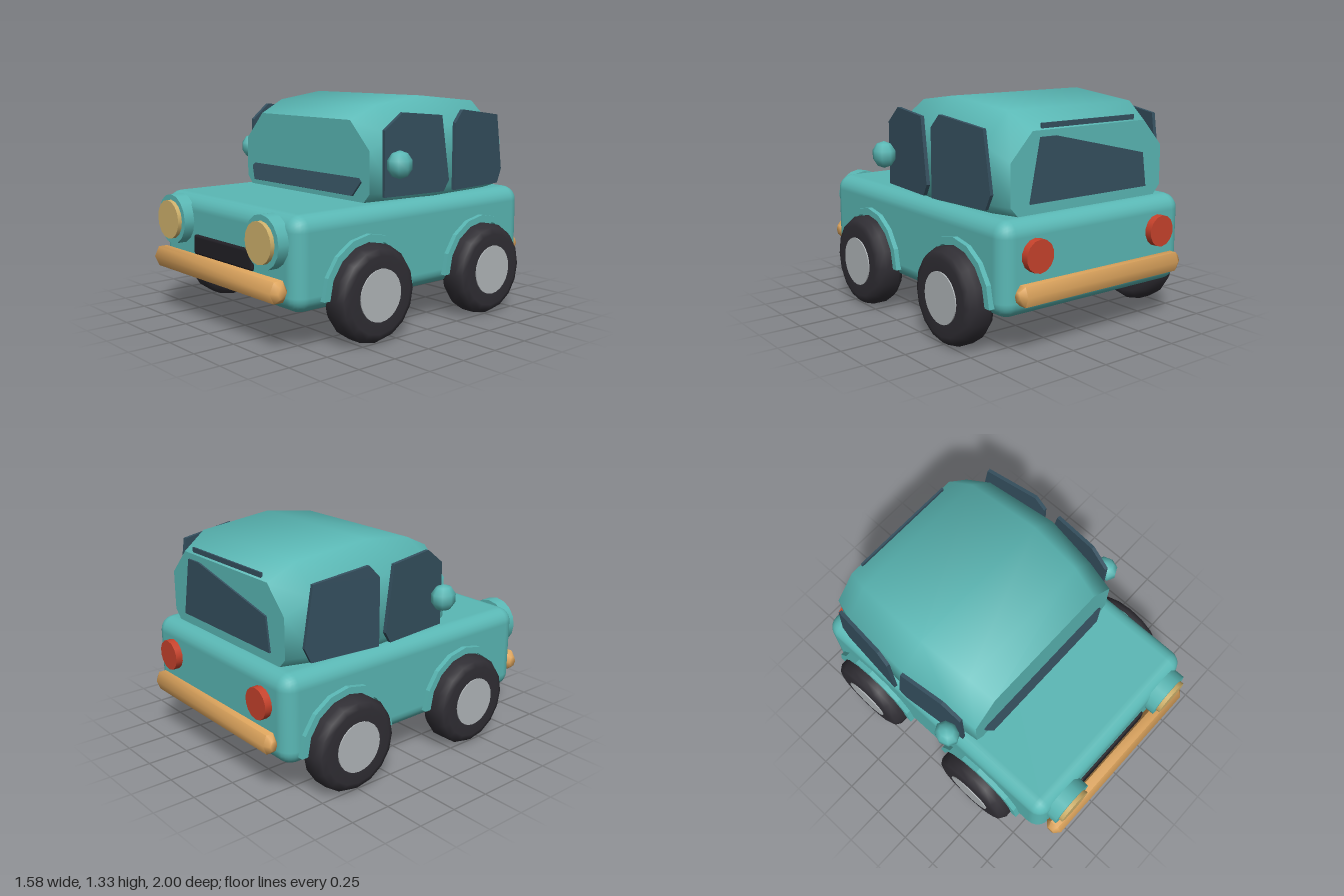
import * as THREE from 'three';
import { toCreasedNormals } from 'three/addons/utils/BufferGeometryUtils.js';
import { RoundedBoxGeometry } from 'three/addons/geometries/RoundedBoxGeometry.js';

const paint = (name, hex) => {
  const m = new THREE.MeshStandardMaterial({ color: hex });
  m.name = name;
  return m;
};

// Skin between closed rings (counter-clockwise in x, y, stepping along +z), capped at both ends
function loft(rings, crease) {
  const n = rings[0].length, index = [];
  for (let i = 0; i < rings.length - 1; i++) {
    for (let j = 0; j < n; j++) {
      const a = i * n + j, b = i * n + (j + 1) % n;
      index.push(a, b, b + n, a, b + n, a + n);
    }
  }
  const last = (rings.length - 1) * n;
  for (let j = 1; j < n - 1; j++) {
    index.push(0, j + 1, j, last, last + j, last + j + 1);
  }
  const g = new THREE.BufferGeometry();
  g.setAttribute('position', new THREE.Float32BufferAttribute(rings.flat(2), 3));
  g.setIndex(index);
  return toCreasedNormals(g, crease);
}

// Flat plate from an outline, centred on its own thickness
function plate(points, depth, holes = []) {
  const shape = new THREE.Shape(points.map(([x, y]) => new THREE.Vector2(x, y)));
  shape.holes = holes;
  return new THREE.ExtrudeGeometry(shape, { depth, bevelEnabled: false }).translate(0, 0, -depth / 2);
}

// Same, but the outline is given as (z, y) and the plate faces sideways
const sidePlate = (points, depth) => plate(points.map(([z, y]) => [-z, y]), depth).rotateY(Math.PI / 2);

export function createModel() {
  const car = new THREE.Group();
  car.name = 'car';
  const teal = paint('teal paint', 0x5ab8b5);
  const glass = paint('dark glass', 0x35505f);
  const rubber = paint('tyre rubber', 0x302e34);
  const steel = paint('hub grey', 0xb2b7ba);
  const brass = paint('bumper tan', 0xdfa65e);
  const lamp = paint('headlight yellow', 0xd0b26c);
  const red = paint('tail light red', 0xc8432c);
  const black = paint('grille black', 0x222026);

  const add = (name, geometry, material, x = 0, y = 0, z = 0) => {
    const mesh = new THREE.Mesh(geometry, material);
    mesh.name = name;
    mesh.position.set(x, y, z);
    car.add(mesh);
    return mesh;
  };

  // Lower body
  add('body', new RoundedBoxGeometry(1.34, 0.525, 1.81, 3, 0.09), teal, 0, 0.48, -0.017);

  // Cabin: octagonal sections [z, half width, shoulder height, roof half width, roof height]
  const sections = [
    [-0.837, 0.555, 1.03, 0.41, 1.185],
    [-0.68, 0.605, 1.11, 0.45, 1.28],
    [-0.2, 0.64, 1.16, 0.47, 1.325],
    [0.13, 0.605, 1.11, 0.45, 1.28],
    [0.305, 0.585, 1.035, 0.42, 1.2],
  ];
  add('cabin', loft(sections.map(([z, w, s, r, t]) => [
    [-w + 0.06, 0.73, z], [w - 0.06, 0.73, z], [w, 0.795, z], [w, s, z],
    [r, t, z], [-r, t, z], [-w, s, z], [-w, 0.795, z],
  ]), 0.9), teal);

  // Windscreen leaning into the cabin front
  const screen = add('windscreen', plate([[-0.47, -0.05], [0.47, -0.05], [0.52, 0.035], [0.5, 0.055], [-0.5, 0.055], [-0.52, 0.035]], 0.012),
    glass, 0, 0.825, 0.318);
  screen.rotation.x = -0.27;

  // Rear window with its upper rim showing above the roof
  add('rearWindow', plate([[-0.43, 0.8], [0.43, 0.8], [0.36, 1.15], [0.25, 1.15], [-0.4, 1.0]], 0.012), glass, 0, 0, -0.842);
  add('rearWindowRim', new THREE.BoxGeometry(0.68, 0.04, 0.012), glass, 0, 1.2, -0.82);

  // Side windows, outlines relative to their middle
  const frontGlass = [[0.235, 0.775], [0.235, 1.15], [0.11, 1.245], [-0.18, 1.22], [-0.24, 0.84], [-0.2, 0.775]];
  const rearGlass = [[0.24, 0.775], [0.24, 1.17], [0.17, 1.245], [-0.185, 1.2], [-0.24, 0.86], [-0.2, 0.775]];
  // Wheel arch: half ring
  const arch = [];
  for (let i = 0; i <= 8; i++) {
    const a = Math.PI * i / 8;
    arch.push([0.325 * Math.cos(a), 0.325 * Math.sin(a)]);
  }
  for (let i = 8; i >= 0; i--) {
    const a = Math.PI * i / 8;
    arch.push([0.285 * Math.cos(a), 0.285 * Math.sin(a)]);
  }
  // Tyre profile turned around the axle
  const tyreProfile = [[0.14, -0.09], [0.22, -0.093], [0.255, -0.08], [0.277, -0.045],
    [0.277, 0.045], [0.255, 0.08], [0.22, 0.093], [0.14, 0.09]].map(([r, y]) => new THREE.Vector2(r, y));
  const tyre = new THREE.LatheGeometry(tyreProfile, 16).rotateZ(Math.PI / 2);
  const hub = new THREE.CylinderGeometry(0.148, 0.148, 0.194, 24).rotateZ(Math.PI / 2);
  const disc = (r, depth, sides) => new THREE.CylinderGeometry(r, r, depth, sides).rotateX(Math.PI / 2);

  for (const [label, s] of [['left', 1], ['right', -1]]) {
    add(label + 'FrontWindow', sidePlate(frontGlass, 0.022), glass, s * 0.645, 0, 0).rotation.y = -s * 0.095;
    add(label + 'RearWindow', sidePlate(rearGlass, 0.022), glass, s * 0.644, 0, -0.525).rotation.y = s * 0.1;
    add(label + 'Mirror', new THREE.SphereGeometry(0.08, 8, 5), teal, s * 0.7, 0.963, 0.185).scale.set(0.85, 1, 1);

    for (const [end, z] of [['Front', 0.4], ['Rear', -0.52]]) {
      add(label + end + 'Tyre', tyre, rubber, s * 0.692, 0.277, z);
      add(label + end + 'Hub', hub, steel, s * 0.692, 0.277, z);
      add(label + end + 'Arch', sidePlate(arch, 0.07), teal, s * 0.665, 0.277, z);
    }

    add(label + 'HeadlightHousing', disc(0.15, 0.08, 16), teal, s * 0.458, 0.592, 0.912);
    add(label + 'Headlight', disc(0.117, 0.03, 16), lamp, s * 0.458, 0.592, 0.962);
    add(label + 'TailLight', disc(0.092, 0.06, 14), red, s * 0.455, 0.55, -0.935);
  }

  // Grille
  add('grille', new RoundedBoxGeometry(0.59, 0.12, 0.05, 2, 0.015), black, 0, 0.457, 0.88);

  // Bumpers: six-sided bars with tapered ends
  const bumper = (half, depth, height) => loft([[-half, 0.5], [-half + 0.035, 1], [half - 0.035, 1], [half, 0.5]].map(([z, k]) =>
    [0, 1, 2, 3, 4, 5].map((i) => {
      const a = Math.PI * i / 3;
      return [Math.cos(a) * depth * k, Math.sin(a) * height * k / 0.866, z];
    })), 1.1).rotateY(Math.PI / 2);
  add('frontBumper', bumper(0.625, 0.057, 0.059), brass, 0, 0.348, 0.943);
  add('rearBumper', bumper(0.6, 0.045, 0.056), brass, 0, 0.353, -0.955);

  return car;
}
